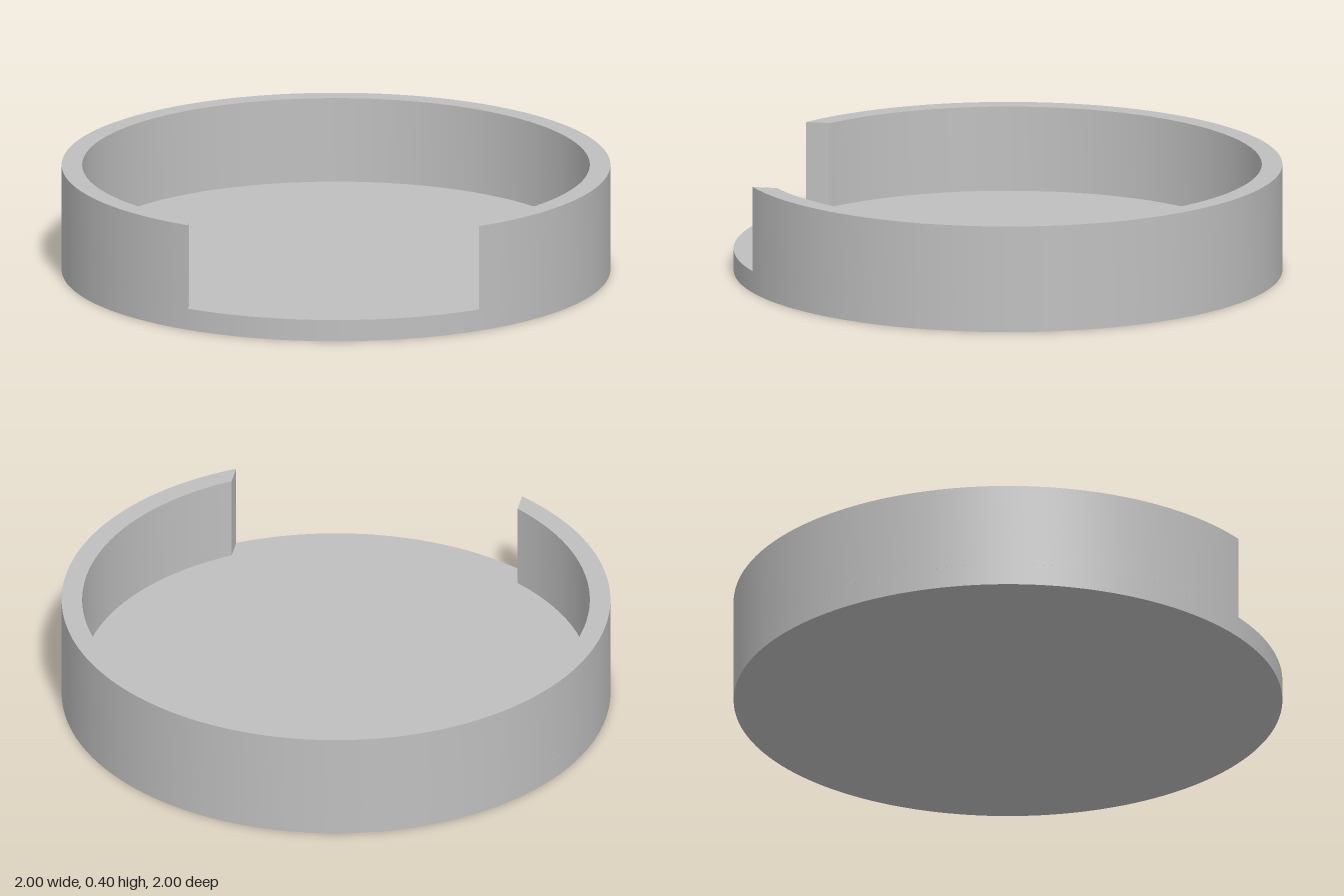
import * as THREE from 'three';
import { toCreasedNormals } from 'three/addons/utils/BufferGeometryUtils.js';

const OUTER = 1, INNER = 0.925, FLOOR = 0.08, HEIGHT = 0.395, GAP = 0.53;

export function createModel() {
  const group = new THREE.Group();
  group.name = 'openTray';
  const grey = new THREE.MeshStandardMaterial({ color: 0xbfbfbf });
  grey.name = 'light grey';

  // Solid round floor
  const floor = new THREE.Mesh(new THREE.CylinderGeometry(OUTER, OUTER, FLOOR, 160), grey);
  floor.name = 'floor';
  floor.position.y = FLOOR / 2;
  group.add(floor);

  // Rim wall with a straight-sided opening at the front
  const outerHalf = Math.asin(GAP / OUTER);
  const innerHalf = Math.asin(GAP / INNER);
  const start = -Math.PI / 2, end = 1.5 * Math.PI;
  const ring = new THREE.Shape();
  ring.absarc(0, 0, OUTER, start + outerHalf, end - outerHalf, false);
  ring.absarc(0, 0, INNER, end - innerHalf, start + innerHalf, true);
  ring.closePath();
  const wallGeometry = new THREE.ExtrudeGeometry(ring, {
    depth: HEIGHT - FLOOR, bevelEnabled: false, curveSegments: 80,
  });
  wallGeometry.rotateX(-Math.PI / 2);
  const wall = new THREE.Mesh(toCreasedNormals(wallGeometry, 0.5), grey);
  wall.name = 'rimWall';
  wall.position.y = FLOOR;
  group.add(wall);

  return group;
}
